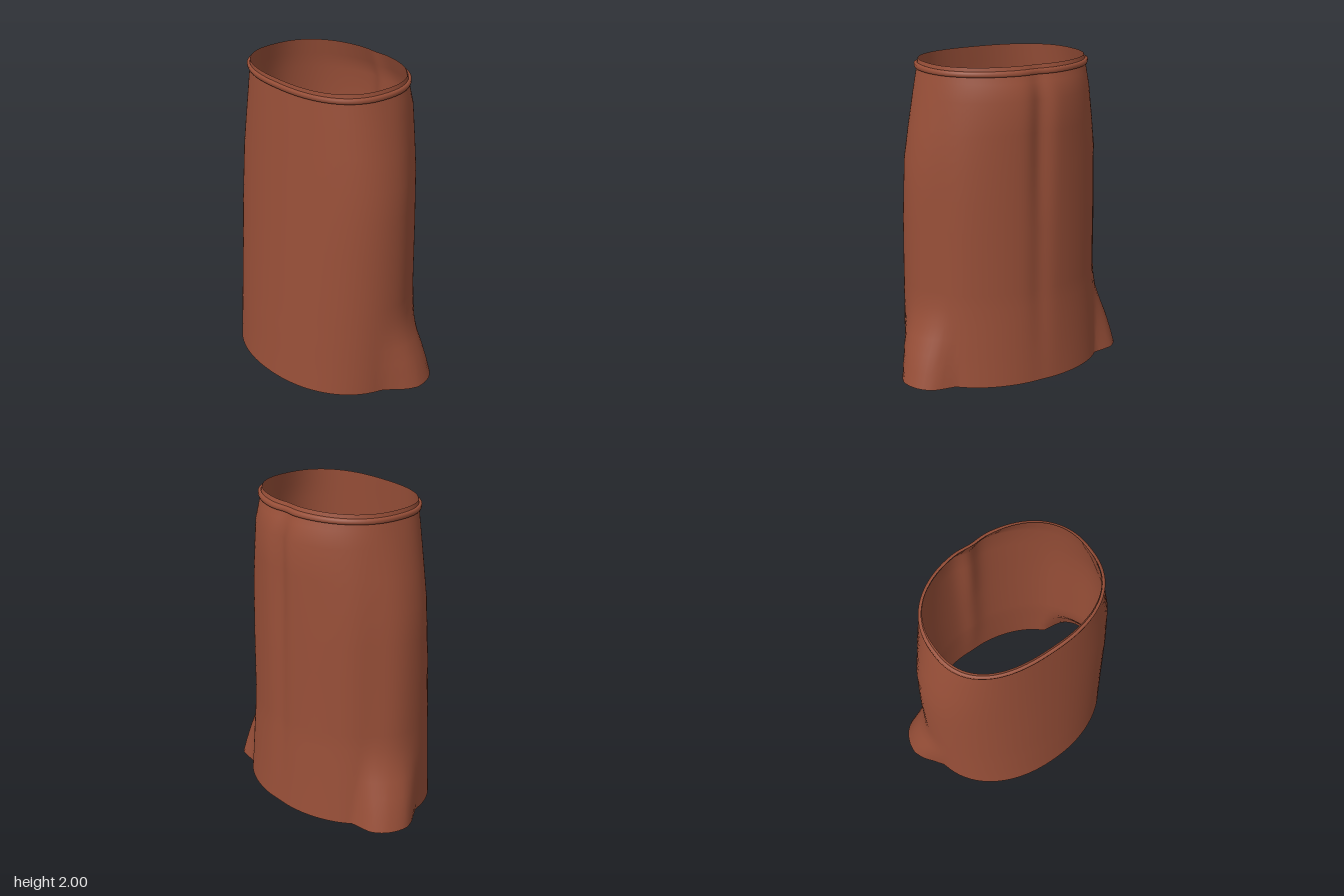
import * as THREE from 'three';

const SEGMENTS = 144;
const { lerp } = THREE.MathUtils;

// Body profile, bottom to top:
// y, half width, front depth, back depth, back crease, hip flare, side pinch, roundness of front, of back
const PROFILE = [
  [0.0, 0.665, 0.512, 0.514, 0.004, 0.133, 0, 2.14, 2.15],
  [0.1, 0.666, 0.505, 0.508, 0.005, 0.109, 0, 2.13, 2.1],
  [0.2, 0.667, 0.498, 0.502, 0.007, 0.081, 0.002, 2.12, 2.06],
  [0.3, 0.667, 0.492, 0.497, 0.01, 0.046, 0.005, 2.12, 2.02],
  [0.4, 0.667, 0.485, 0.492, 0.012, 0.016, 0.01, 2.12, 1.98],
  [0.5, 0.667, 0.478, 0.487, 0.014, 0.004, 0.014, 2.12, 1.95],
  [0.6, 0.667, 0.472, 0.484, 0.016, 0, 0.017, 2.12, 1.93],
  [1.0, 0.667, 0.446, 0.484, 0.022, 0, 0.018, 2.12, 1.91],
  [1.2, 0.66, 0.433, 0.484, 0.028, 0, 0.016, 2.12, 1.91],
  [1.4, 0.651, 0.42, 0.484, 0.034, 0, 0.012, 2.13, 1.91],
  [1.6, 0.616, 0.406, 0.484, 0.036, 0, 0.006, 2.2, 1.94],
  [1.8, 0.576, 0.393, 0.483, 0.036, 0, 0.002, 2.3, 1.99],
  [1.9, 0.552, 0.385, 0.44, 0.02, 0, 0, 2.4, 2.14],
  [2.0, 0.528, 0.378, 0.4, 0.008, 0, 0, 2.5, 2.3],
];

// Share of the hip flare by degrees behind the side
const FLARE = [[-8, 0], [-2.4, 0.3], [3, 0.7], [8, 0.95], [13, 1], [18.5, 0.98], [24.5, 0.78], [32, 0]];

// Row of a table at a given first value, blended linearly
function tableRow(table, value) {
  const first = table[0], last = table[table.length - 1];
  if (value <= first[0]) return first;
  if (value >= last[0]) return last;
  const i = table.findIndex((row) => row[0] >= value);
  const a = table[i - 1], b = table[i];
  return a.map((v, k) => lerp(v, b[k], (value - a[0]) / (b[0] - a[0])));
}

// Rounded oval with a crease at centre back, and a flare and pinch behind each hip
function outlinePoint(y, angle, offset) {
  const [, w, front, back, crease, flare, pinch, frontPower, backPower] = tableRow(PROFILE, y);
  const c = Math.cos(angle), s = Math.sin(angle);
  const depth = s > 0 ? front : back;
  const n = s > 0 ? frontPower : backPower;
  let r = Math.pow(Math.pow(Math.abs(c) / w, n) + Math.pow(Math.abs(s) / depth, n), -1 / n);
  const behind = -THREE.MathUtils.radToDeg(Math.atan2(s, Math.abs(c)));
  // the flare narrows towards the front as it rises
  r += flare * tableRow(FLARE, behind + 12 * y)[1];
  r -= pinch * Math.exp(-Math.pow((behind - 20) / 10, 2));
  if (s < 0) r -= crease * Math.exp(-Math.pow((r * c) / 0.07, 2));
  r += offset;
  return [r * c, y, r * s];
}

// Skin through rows of [y, outward offset]
function loft(rows) {
  const positions = [], index = [];
  for (const [y, offset] of rows) {
    for (let j = 0; j < SEGMENTS; j++) {
      positions.push(...outlinePoint(y, (j / SEGMENTS) * Math.PI * 2, offset));
    }
  }
  for (let i = 0; i < rows.length - 1; i++) {
    for (let j = 0; j < SEGMENTS; j++) {
      const k = (j + 1) % SEGMENTS;
      const a = i * SEGMENTS + j, b = i * SEGMENTS + k;
      index.push(a, a + SEGMENTS, b, b, a + SEGMENTS, b + SEGMENTS);
    }
  }
  const geometry = new THREE.BufferGeometry();
  geometry.setAttribute('position', new THREE.Float32BufferAttribute(positions, 3));
  geometry.setIndex(index);
  geometry.computeVertexNormals();
  return geometry;
}

export function createModel() {
  const group = new THREE.Group();
  group.name = 'skirt';
  const cloth = new THREE.MeshStandardMaterial({ color: 0x984f38, side: THREE.DoubleSide });
  cloth.name = 'russet cloth';

  // Open tube of cloth
  const body = new THREE.Mesh(loft(PROFILE.map((p) => [p[0], 0])), cloth);
  body.name = 'skirtBody';
  group.add(body);

  // Thin cord around the waist
  const cord = new THREE.Mesh(
    loft([[1.945, 0.002], [1.945, 0.01], [1.955, 0.016], [1.972, 0.02], [1.977, 0.01], [1.977, 0.002]]),
    cloth,
  );
  cord.name = 'waistCord';
  group.add(cord);

  return group;
}
